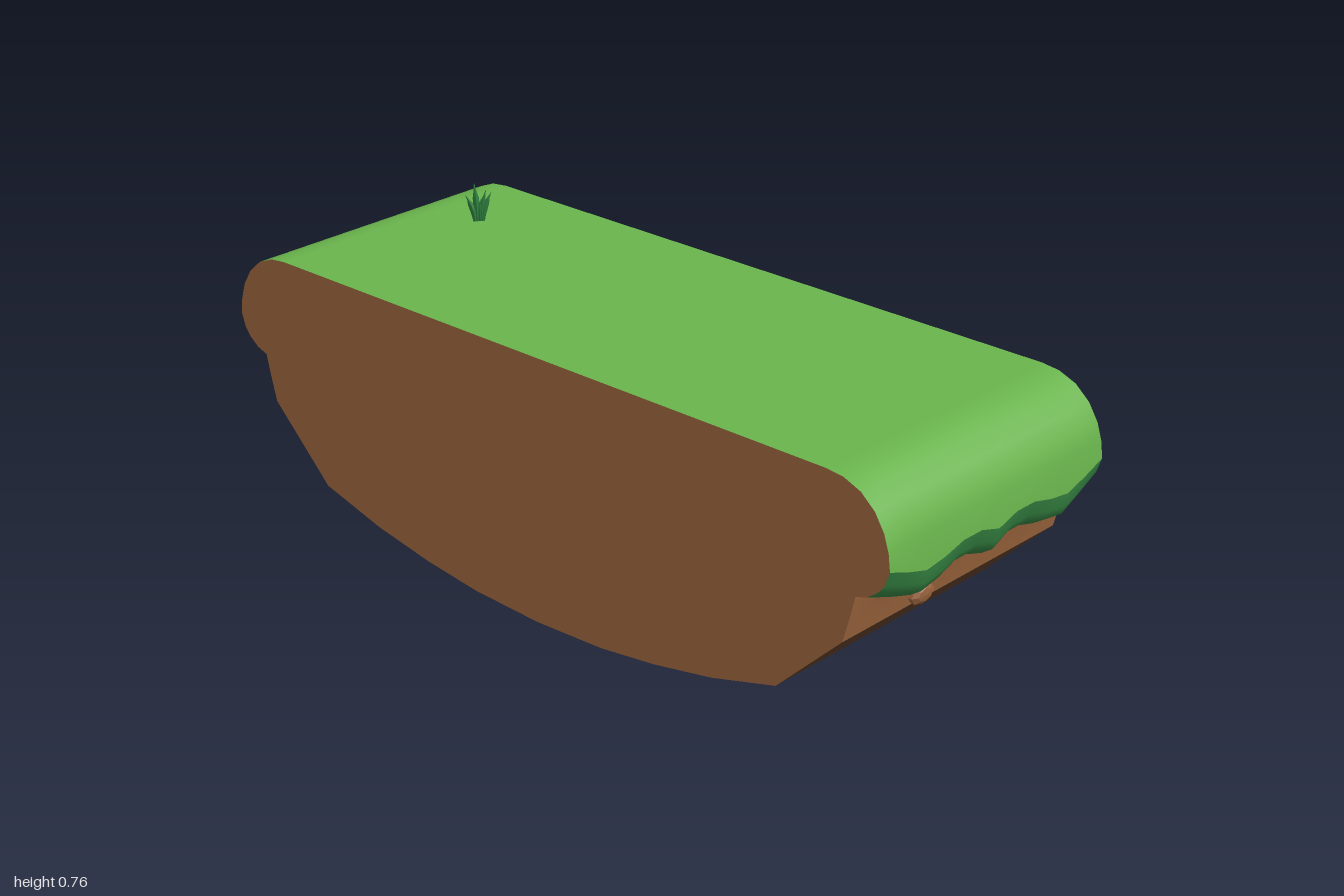
import * as THREE from 'three';

const HALF = 0.365;
// Overhang amount at each column across the front, mirrored about the middle
const half = [0, 0.55, 1, 0.8, 0.42, 0.42, 0.87];
const wave = [...half, ...half.slice(0, -1).reverse()];

// Half profiles, going down: [z, y, z shift, y shift] with the shift scaled by the wave
const turf = [[0.83, 0.655], [0.875, 0.65], [0.92, 0.632], [0.957, 0.6], [0.982, 0.56], [0.995, 0.52], [1, 0.48, 0, -0.04]];
const lip = [turf[6], [0.988, 0.445, 0.01, -0.035], [0.972, 0.425, 0.015, -0.038], [0.945, 0.405, 0.015, -0.036], [0.915, 0.395, 0, -0.03]];
const soil = [lip[4], [0.903, 0.345], [0.885, 0.28]];
const slope = [soil[2], [0.71, 0.11]];
const belly = [slope[1], [0.53, 0.06], [0.36, 0.028], [0.2, 0.008], [0, 0]];

const mat = (color, extra = {}) => new THREE.MeshStandardMaterial({ color, ...extra });

function addMesh(group, name, geometry, material) {
  const mesh = new THREE.Mesh(geometry, material);
  mesh.name = name;
  group.add(mesh);
  return mesh;
}

// Rows mirrored to the straight back side
const toBack = (rows) => rows.map(([z, y]) => [-z, y]).reverse();

// Sweep profile rows across the width
function sweep(rows) {
  const n = wave.length, pos = [], index = [];
  rows.forEach(([z, y, dz = 0, dy = 0], r) => wave.forEach((w, c) => {
    pos.push(-HALF + (2 * HALF * c) / (n - 1), y + dy * w, z + dz * w);
    if (r < rows.length - 1 && c < n - 1) {
      const a = r * n + c;
      index.push(a, a + n, a + 1, a + 1, a + n, a + n + 1);
    }
  }));
  const g = new THREE.BufferGeometry();
  g.setAttribute('position', new THREE.Float32BufferAttribute(pos, 3));
  g.setIndex(index);
  g.computeVertexNormals();
  return g;
}

// Pointed blade that swells in the middle and leans outward
function bladeGeometry(height, lean) {
  const g = new THREE.ConeGeometry(1, height, 4, 5).translate(0, height / 2, 0);
  const p = g.attributes.position;
  for (let i = 0; i < p.count; i++) {
    const t = p.getY(i) / height;
    const spread = t > 0.99 ? 0 : (0.004 + 0.004 * Math.sin(Math.PI * t)) / Math.max(1 - t, 0.2) * Math.min(1, (1 - t) * 2.5);
    p.setX(i, p.getX(i) * spread + lean * t * t);
    p.setZ(i, p.getZ(i) * spread * 0.6);
  }
  g.computeVertexNormals();
  return g;
}

export function createModel() {
  const model = new THREE.Group();
  model.name = 'grassyGroundBlock';
  const green = mat(0x69b34c), darkGreen = mat(0x338040);
  const brown = mat(0xa0683f), darkBrown = mat(0x5e3c26);

  // Turf over the top, rounded down at front and back
  addMesh(model, 'turf', sweep([...toBack(turf), ...turf]), green);

  // Bands on the front and back
  for (const [name, rows, material] of [
    ['grassLip', lip, darkGreen], ['soilBand', soil, brown], ['lowerSoil', slope, darkBrown],
  ]) {
    addMesh(model, name + 'Front', sweep(rows), material);
    addMesh(model, name + 'Back', sweep(toBack(rows)), material);
  }

  // Curved underside
  addMesh(model, 'underside', sweep([...belly, ...toBack(belly).slice(1)]), darkBrown);

  // Flat cut ends
  const side = [...turf, ...lip.slice(1), ...soil.slice(1), ...slope.slice(1), ...belly.slice(1)];
  const outline = [...side, ...toBack(side).slice(1)].map(([z, y]) => new THREE.Vector2(z, y));
  const cap = new THREE.ShapeGeometry(new THREE.Shape(outline));
  for (const s of [1, -1]) {
    const end = addMesh(model, s > 0 ? 'leftEnd' : 'rightEnd', cap, brown);
    end.rotation.y = (s * Math.PI) / 2;
    end.position.x = s * HALF;
  }

  // Pebble in the front soil
  const stone = new THREE.SphereGeometry(1, 8, 5).rotateX(Math.PI / 2).scale(0.04, 0.025, 0.016);
  addMesh(model, 'pebble', stone, mat(0x95603b, { flatShading: true })).position.set(-0.145, 0.32, 0.914);

  // Grass tuft
  const tuft = new THREE.Group();
  tuft.name = 'grassTuft';
  tuft.position.set(0.142, 0.652, -0.695);
  tuft.rotation.y = -0.67;
  for (const [x, height, lean] of [
    [-0.009, 0.074, -0.024], [-0.004, 0.104, -0.006], [0.003, 0.06, 0.003], [0.006, 0.083, 0.013], [0.01, 0.078, 0.023],
  ]) {
    addMesh(tuft, 'grassBlade', bladeGeometry(height, lean), mat(0x2f8040)).position.x = x;
  }
  model.add(tuft);

  return model;
}
